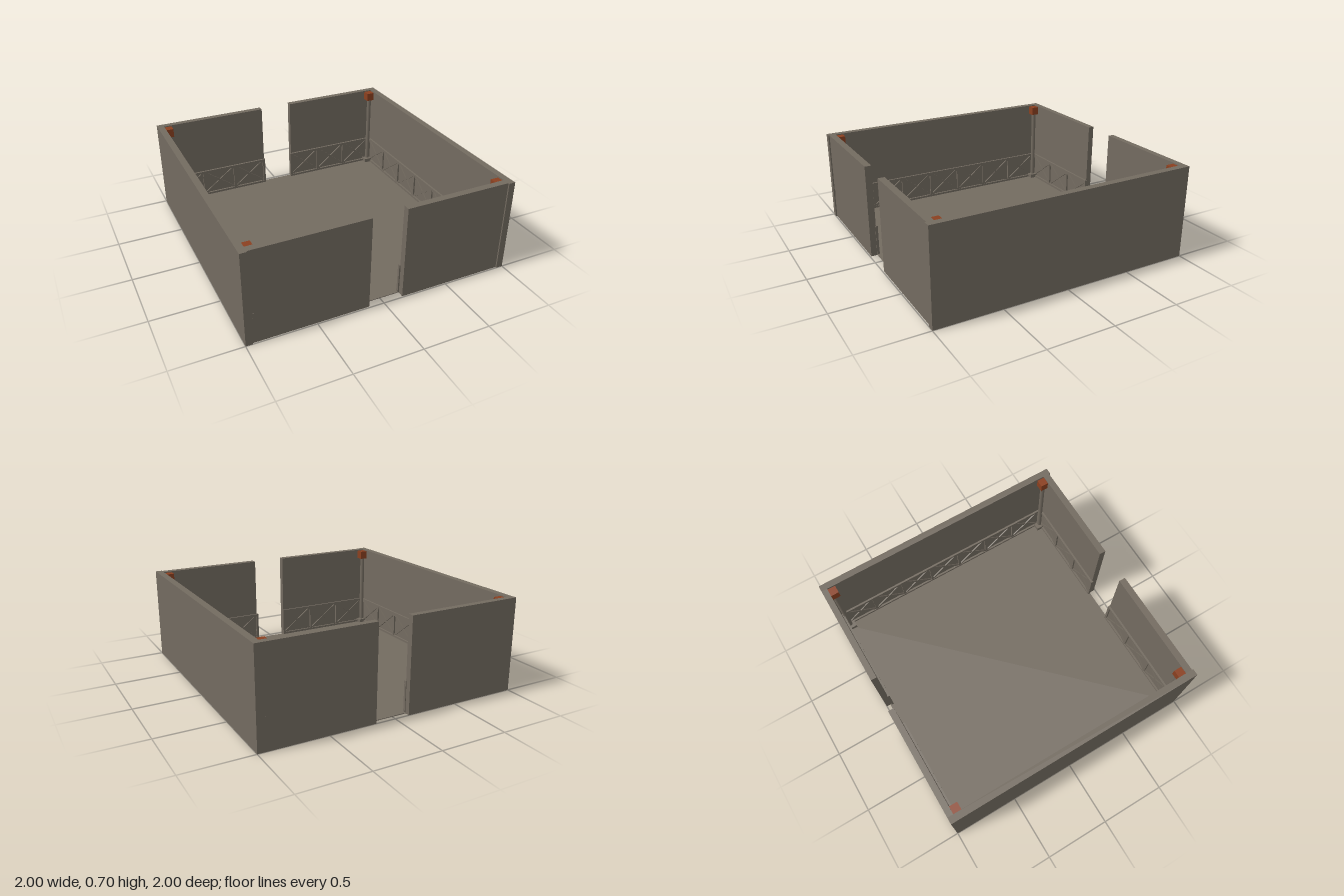
import * as THREE from 'three';

export function createModel() {
  const root = new THREE.Group();
  root.name = 'walledRoom';
  const stone = new THREE.MeshStandardMaterial({ color: 0x736b60, side: THREE.DoubleSide });
  stone.name = 'stone';
  const rust = new THREE.MeshStandardMaterial({ color: 0x8a4020 });
  rust.name = 'rust';
  const HEIGHT = 0.705;

  function add(parent, name, geometry, material = stone) {
    const mesh = new THREE.Mesh(geometry, material);
    mesh.name = name;
    parent.add(mesh);
    return mesh;
  }

  // Box given by its minimum and maximum corners
  function span(parent, name, a, b, material) {
    const g = new THREE.BoxGeometry(b[0] - a[0], b[1] - a[1], b[2] - a[2]);
    const mesh = add(parent, name, g, material);
    mesh.position.set((a[0] + b[0]) / 2, (a[1] + b[1]) / 2, (a[2] + b[2]) / 2);
    return mesh;
  }

  // Hollow wall shell, open underneath
  function wall(name, x0, x1, z0, z1) {
    const mesh = span(root, name, [x0, 0, z0], [x1, HEIGHT, z1]);
    const index = Array.from(mesh.geometry.index.array);
    index.splice(18, 6);
    mesh.geometry.setIndex(index);
    mesh.geometry.clearGroups();
  }

  span(root, 'floor', [-0.95, 0.003, -0.97], [0.95, 0.008, 0.945]);
  wall('rightWall', -1, -0.95, -1, 1);
  wall('leftWall', 0.95, 1, -1, 1);
  wall('frontWallRight', -0.95, -0.11, 0.94, 0.99);
  wall('frontWallLeft', 0.15, 0.95, 0.94, 0.99);
  wall('backWallRight', -0.95, -0.11, -1, -0.955);
  wall('backWallLeft', 0.15, 0.95, -1, -0.955);

  // Cross-braced panelling, built along local x and facing local +z
  function wainscot(name, length, panels, x, z, turn) {
    const group = new THREE.Group();
    group.name = name;
    group.position.set(x, 0, z);
    group.rotation.y = turn;
    root.add(group);
    const h = length / 2, top = 0.235, cap = 0.02, base = 0.025, stile = 0.02;
    span(group, 'topRail', [-h, top - cap, -0.005], [h, top, 0.015]);
    span(group, 'bottomRail', [-h, 0.003, -0.005], [h, base, 0.015]);
    const step = (length - stile) / panels;
    const w = step - stile, t = top - cap - base;
    const midY = base + t / 2;
    for (let i = 0; i <= panels; i++) {
      const sx = -h + i * step;
      span(group, 'stile', [sx, base, -0.005], [sx + stile, top - cap, 0.013]);
      if (i === panels) break;
      for (const side of [-1, 1]) {
        const brace = add(group, 'crossBrace', new THREE.BoxGeometry(Math.hypot(w, t), 0.018, 0.014));
        brace.position.set(sx + stile + w / 2, midY, 0.002 + side * 0.0005);
        brace.rotation.z = side * Math.atan2(t, w);
      }
    }
    return group;
  }

  const quarter = Math.PI / 2;
  wainscot('rightWainscot', 1.88, 7, -0.95, -0.008, quarter);
  wainscot('leftWainscot', 1.88, 7, 0.95, -0.008, -quarter);
  wainscot('backWainscotRight', 0.84, 3, -0.525, -0.955, 0);
  wainscot('backWainscotLeft', 0.805, 3, 0.5425, -0.955, 0);
  wainscot('frontWainscotRight', 0.84, 3, -0.525, 0.94, Math.PI);
  wainscot('frontWainscotLeft', 0.805, 3, 0.5425, 0.94, Math.PI);

  // Rail ends that just break through the outer wall faces
  span(root, 'frontRailEnd', [-0.94, 0.195, 0.94], [-0.93, 0.235, 0.994]);
  span(root, 'backRailEnd', [0.93, 0.195, -1.003], [0.94, 0.235, -0.95]);

  // Corner columns with square capitals and bases
  for (const x of [-0.922, 0.916]) {
    for (const z of [-0.924, 0.912]) {
      const column = new THREE.Group();
      column.name = 'cornerColumn';
      column.position.set(x, 0, z);
      root.add(column);
      const r = 0.031;
      span(column, 'base', [-r, 0.003, -r], [r, 0.04, r]);
      const sx = Math.sign(x), sz = Math.sign(z);
      const shaft = add(column, 'shaft', new THREE.CylinderGeometry(0.018, 0.018, 0.6, 12));
      shaft.position.set(sx * 0.008, 0.335, sz * 0.008);
      span(column, 'capital', [-r, 0.63, -r], [r, 0.697, r], rust);
    }
  }
  return root;
}
